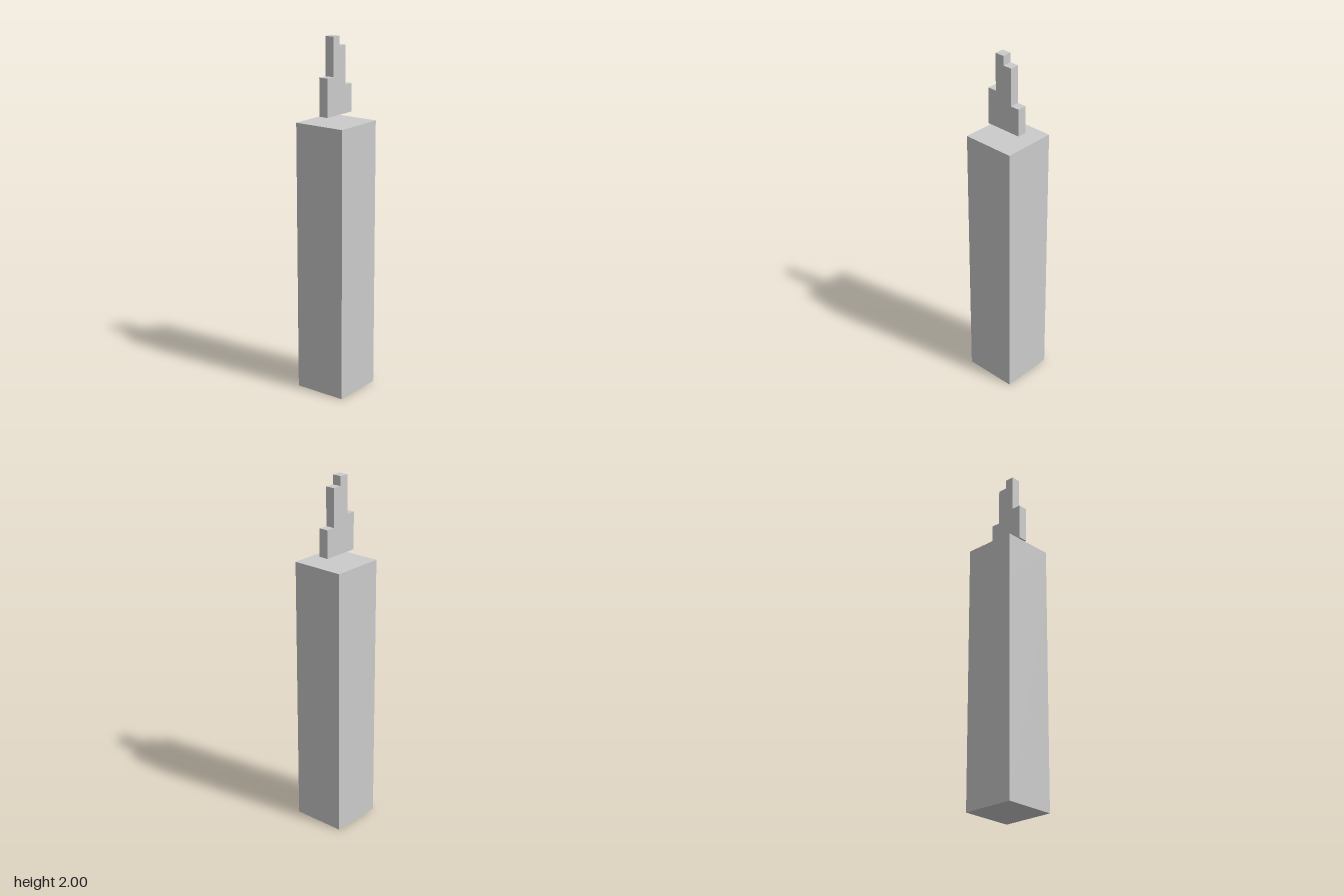
import * as THREE from 'three';

const WIDTH = 0.306;

function material(color) {
  return new THREE.MeshStandardMaterial({ color, flatShading: true });
}

// Square block of the candle between two heights
function block(name, bottom, top, color) {
  const geometry = new THREE.BoxGeometry(WIDTH, top - bottom, WIDTH);
  const mesh = new THREE.Mesh(geometry, material(color));
  mesh.name = name;
  mesh.position.y = (bottom + top) / 2;
  return mesh;
}

// Stepped flame: one outline over columns of equal width, extruded
function flame() {
  const left = -0.114, step = 0.0535, base = 1.577, depth = 0.0535;
  const tops = [1.787, 2, 1.947, 1.733];
  const shape = new THREE.Shape();
  shape.moveTo(left, base);
  tops.forEach((top, i) => {
    shape.lineTo(left + i * step, top);
    shape.lineTo(left + (i + 1) * step, top);
  });
  shape.lineTo(left + tops.length * step, base);
  shape.closePath();
  const geometry = new THREE.ExtrudeGeometry(shape, { depth, bevelEnabled: false });
  geometry.translate(0, 0, -depth / 2 + 0.001);
  const mesh = new THREE.Mesh(geometry, material(0xcccccc));
  mesh.name = 'flame';
  return mesh;
}

export function createModel() {
  const model = new THREE.Group();
  model.name = 'candle';
  model.add(
    block('candleBody', 0, 1.23, 0xcccccc),
    block('paleCandleTop', 1.23, 1.535, 0xdcdcdc),
    flame(),
  );
  return model;
}
